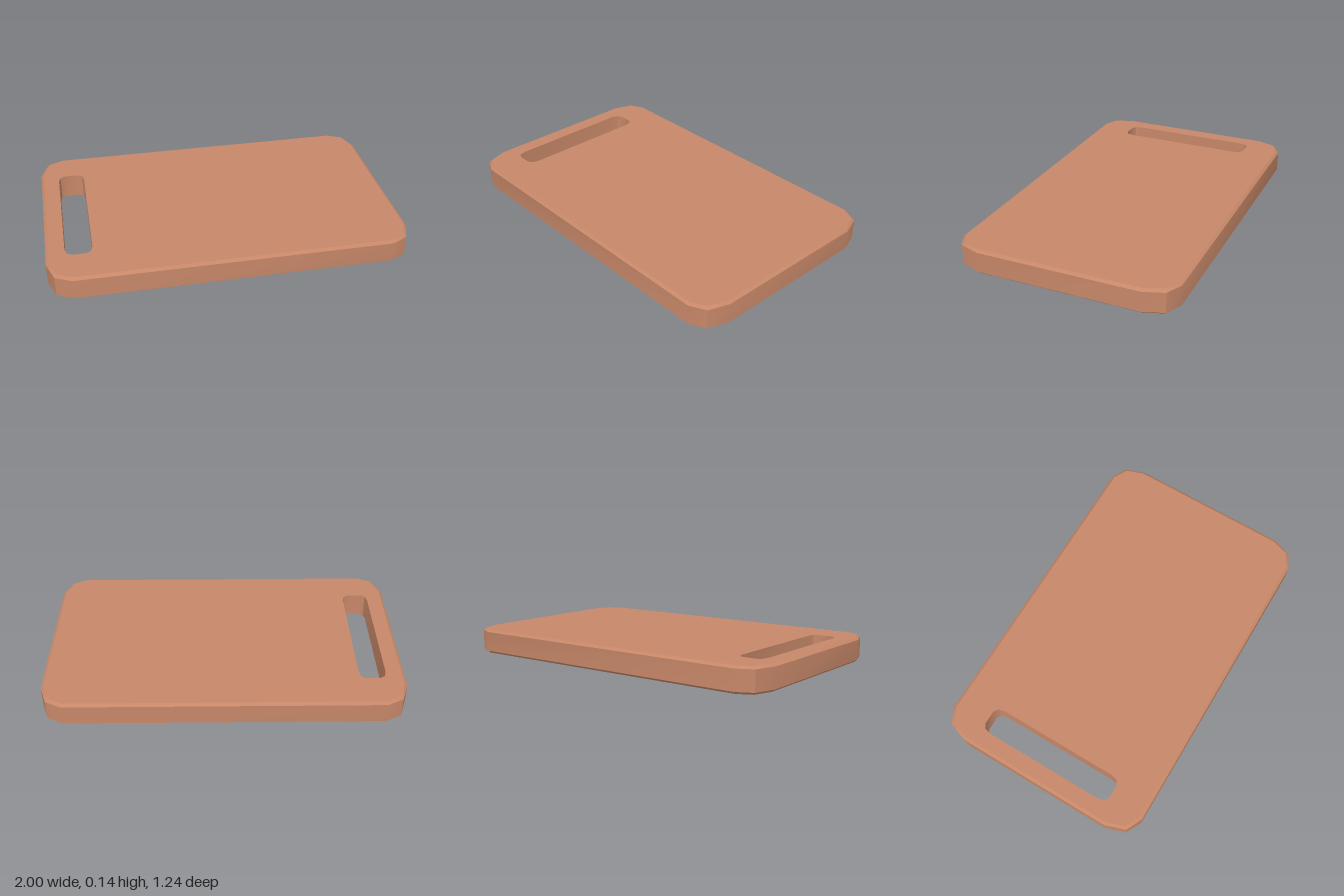
import * as THREE from 'three';
import { mergeGeometries, toCreasedNormals } from 'three/addons/utils/BufferGeometryUtils.js';

// Counter-clockwise rectangle whose corners are cut back by the given [dx, dy] steps
function ring(cx, halfW, halfH, corner) {
  const points = [];
  for (const [sx, sy] of [[1, 1], [-1, 1], [-1, -1], [1, -1]]) {
    const steps = sx * sy > 0 ? corner : [...corner].reverse();
    for (const [dx, dy] of steps) {
      points.push(new THREE.Vector2(cx + sx * (halfW - dx), sy * (halfH - dy)));
    }
  }
  return points;
}

// Band of quads joining two matching rings at two heights
function band(lower, z0, upper, z1) {
  const pos = [];
  lower.forEach((a, i) => {
    const j = (i + 1) % lower.length;
    const b = lower[j], c = upper[j], d = upper[i];
    pos.push(a.x, a.y, z0, b.x, b.y, z0, c.x, c.y, z1);
    pos.push(a.x, a.y, z0, c.x, c.y, z1, d.x, d.y, z1);
  });
  const g = new THREE.BufferGeometry();
  g.setAttribute('position', new THREE.Float32BufferAttribute(pos, 3));
  return g;
}

export function createModel() {
  const height = 0.14, bevel = 0.013, inset = 0.016;
  const wood = new THREE.MeshStandardMaterial({ color: 0xc68768 });
  wood.name = 'warm wood';

  const corner = [[0, 0.16], [0.04, 0.045], [0.13, 0]];
  const outer = ring(0, 1, 0.62, corner);
  const inner = ring(0, 1 - inset, 0.62 - inset, corner.map(([x, y]) => [x * 0.9, y * 0.9]));
  const slot = ring(-0.822, 0.075, 0.408, [[0, 0.055], [0.01, 0.015], [0.037, 0]]);
  const slotIn = [...slot].reverse();

  // Flat faces pierced by the handle slot
  const face = new THREE.Shape(inner);
  face.holes.push(new THREE.Path(slotIn));
  const cap = () => {
    const g = new THREE.ShapeGeometry(face).toNonIndexed();
    g.deleteAttribute('uv');
    g.deleteAttribute('normal');
    return g;
  };

  const merged = mergeGeometries([
    cap().translate(0, 0, height),
    cap().rotateX(Math.PI),
    band(inner, 0, outer, bevel), // lower chamfer
    band(outer, bevel, outer, height - bevel), // side wall
    band(outer, height - bevel, inner, height), // upper chamfer
    band(slotIn, 0, slotIn, height), // slot wall
  ]);
  merged.rotateX(-Math.PI / 2);

  const board = new THREE.Mesh(toCreasedNormals(merged, 0.6), wood);
  board.name = 'cuttingBoard';
  const model = new THREE.Group();
  model.name = 'choppingBoard';
  model.add(board);
  return model;
}
